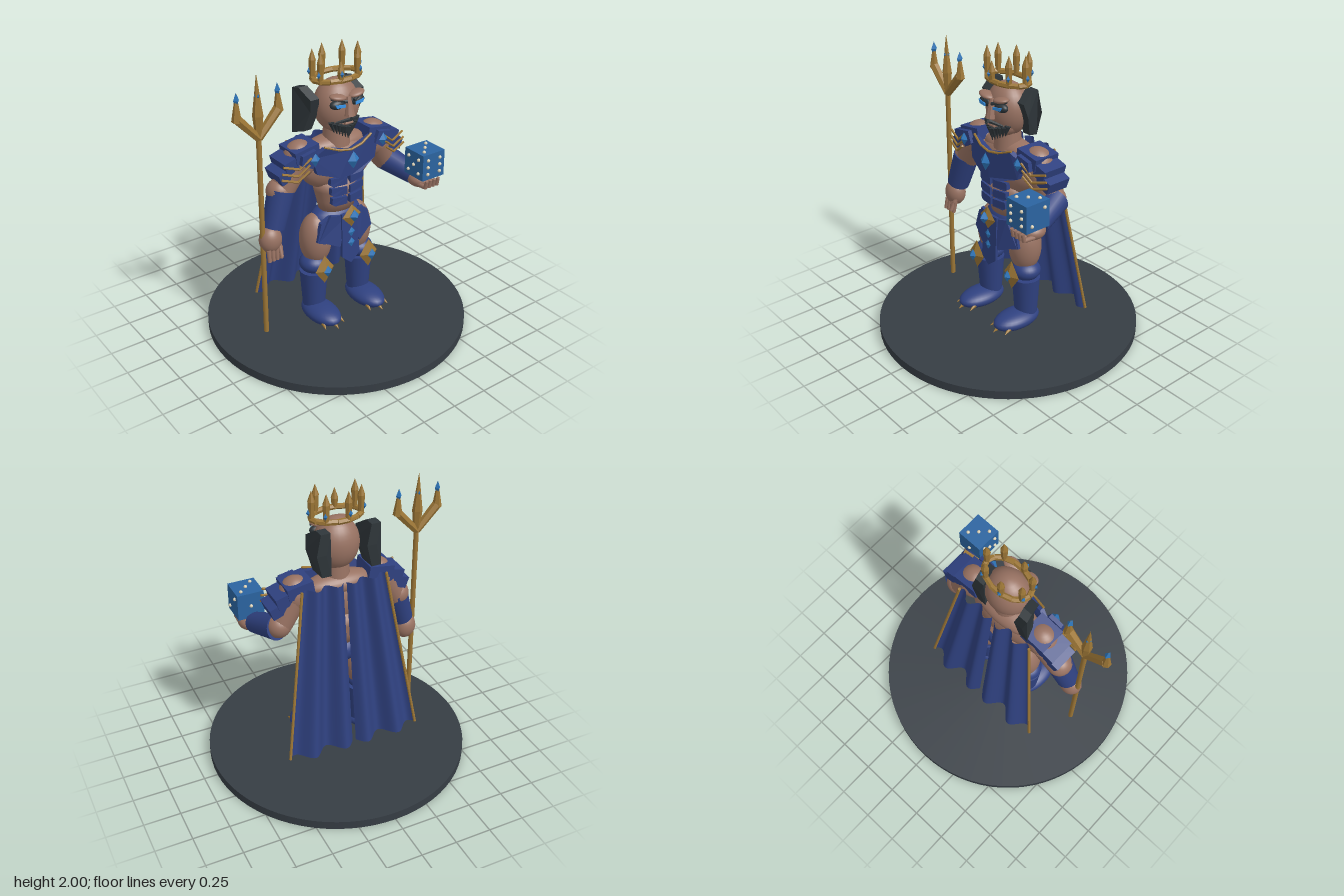
import * as THREE from 'three';

const colour = (name, hex) => Object.assign(new THREE.MeshStandardMaterial({ color: hex }), { name });
const V = (p) => new THREE.Vector3(...p);

export function createModel() {
  const navy = colour('navy armour', 0x2f4180);
  navy.side = THREE.DoubleSide;
  const skin = colour('skin', 0x987262);
  const gold = colour('gold', 0x9c7636);
  const hair = colour('hair', 0x2e3539);
  const stone = colour('base stone', 0x363d44);
  const gemBlue = colour('gem blue', 0x2f78bd);
  const dieBlue = colour('die blue', 0x2b64a0);
  const eyeBlue = colour('eye blue', 0x3c9cf5);
  const ivory = colour('ivory', 0xd6cdb4);

  const model = new THREE.Group();
  model.name = 'armouredKing';

  const add = (name, geo, mat, pos = [0, 0, 0], rot = [0, 0, 0]) => {
    const m = new THREE.Mesh(geo, mat);
    m.name = name;
    m.position.set(...pos);
    m.rotation.set(...rot);
    model.add(m);
    return m;
  };
  const flat = (geo) => {
    const g = geo.index ? geo.toNonIndexed() : geo;
    g.computeVertexNormals();
    return g;
  };
  const blob = (name, mat, pos, r, rot) => add(name, new THREE.SphereGeometry(1, 28, 18).scale(...r), mat, pos, rot);
  const gem = (name, mat, pos, r) => add(name, flat(new THREE.OctahedronGeometry(1).scale(...r)), mat, pos);
  const box = (name, mat, size, pos, rot) => add(name, new THREE.BoxGeometry(...size), mat, pos, rot);
  // Tapered round bar from a to b
  const limb = (name, mat, a, b, ra, rb, sides = 20) => {
    const A = V(a), B = V(b), d = B.clone().sub(A);
    let geo = new THREE.CylinderGeometry(rb, ra, d.length(), sides);
    if (sides < 10) geo = flat(geo);
    const m = add(name, geo, mat, A.clone().add(B).multiplyScalar(0.5).toArray());
    m.quaternion.setFromUnitVectors(new THREE.Vector3(0, 1, 0), d.normalize());
    return m;
  };
  const path = (name, mat, pts, r) => pts.slice(1).forEach((p, i) => limb(name, mat, pts[i], p, r, r, 6));
  // Flat armour plate from an outline, curved back by bend * x^2 and tilted by lean
  const plate = (name, mat, pts, depth, z, bend = 0, lean = 0) => {
    const shape = new THREE.Shape(pts.map((p) => new THREE.Vector2(...p)));
    const geo = new THREE.ExtrudeGeometry(shape, { depth, bevelEnabled: false });
    const p = geo.attributes.position;
    for (let i = 0; i < p.count; i++) {
      p.setZ(i, p.getZ(i) + z - bend * p.getX(i) ** 2 + lean * (0.88 - p.getY(i)));
    }
    return add(name, flat(geo), mat);
  };

  // Display base
  add('base', new THREE.CylinderGeometry(0.905, 0.905, 0.06, 72), stone, [0, 0.03, 0]);

  // Legs, boots and knee guards
  for (const s of [-1, 1]) {
    const x = 0.19 * s;
    blob('foot', navy, [x, 0.14, 0.085], [0.107, 0.063, 0.185]);
    for (const k of [-1, 0, 1]) {
      const cx = x + k * 0.065, cz = k ? 0.2 : 0.24;
      limb('toeClaw', gold, [cx, 0.13, cz], [cx + k * 0.012, 0.108, cz + 0.052], 0.018, 0.001, 8);
    }
    limb('shinGuard', navy, [x, 0.17, 0], [x, 0.44, 0], 0.078, 0.097);
    blob('kneeGuard', navy, [x, 0.495, 0], [0.1, 0.07, 0.1]);
    gem('kneeDiamond', gold, [x - 0.005 * s, 0.495, 0.125], [0.075, 0.108, 0.035]);
    gem('kneeGem', gemBlue, [x - 0.005 * s, 0.5, 0.163], [0.032, 0.045, 0.025]);
    blob('thigh', skin, [0.165 * s, 0.67, -0.01], [0.112, 0.19, 0.112]);
    plate('tasset', navy, [[0.02, 0.86], [0.13, 0.885], [0.215, 0.705], [0.08, 0.65]].map(([a, b]) => [a * s, b]),
      0.02, 0.125, 1.2, 0.1);
    plate('sideTasset', navy, [[0.12, 0.87], [0.19, 0.83], [0.225, 0.7], [0.17, 0.68]].map(([a, b]) => [a * s, b]),
      0.03, 0.085, 0.6, 0.1);
  }

  // Hips, front cloth and belt jewel
  blob('hips', navy, [0, 0.81, -0.01], [0.2, 0.1, 0.115]);
  plate('frontCloth', navy, [[-0.06, 0.88], [0.06, 0.88], [0.072, 0.57], [0, 0.51], [-0.072, 0.57]], 0.02, 0.13, 0, 0.07);
  gem('beltDiamond', gold, [0, 0.873, 0.175], [0.076, 0.083, 0.03]);
  gem('beltGem', gemBlue, [0, 0.883, 0.205], [0.036, 0.045, 0.035]);
  for (const y of [0.75, 0.67]) gem('clothGem', gemBlue, [0, y, 0.175], [0.028, 0.036, 0.012]);

  // Torso
  const waist = [[0, 0.86], [0.13, 0.88], [0.145, 0.95], [0.165, 1.03], [0.18, 1.1], [0, 1.2]];
  add('waist', new THREE.LatheGeometry(waist.map((p) => new THREE.Vector2(...p)), 36).scale(1, 1, 0.75), skin);
  blob('chest', skin, [0, 1.21, 0], [0.28, 0.18, 0.125]);
  blob('upperBack', skin, [0, 1.33, -0.02], [0.24, 0.075, 0.1]);
  limb('neck', skin, [0, 1.34, 0], [0, 1.5, 0], 0.095, 0.08);
  for (const s of [-1, 1]) {
    [1.125, 1.053, 0.982].forEach((y, i) => {
      const w = 0.135 - 0.006 * i, h = 0.03;
      plate('abdomenPlate', navy, [[0.012, y - h], [w - 0.02, y - h], [w, y - h * 0.5], [w - 0.004, y + h], [0.012, y + h * 0.8]]
        .map(([a, b]) => [a * s, b]), 0.03, 0.113, 1);
    });
    plate('breastPlate', navy, [[0, 1.345], [0.18, 1.39], [0.26, 1.33], [0.23, 1.215], [0.085, 1.165], [0, 1.165]]
      .map(([a, b]) => [a * s, b]), 0.035, 0.13, 0.9);
    path('neckTrim', gold, [[0, 1.35, 0.165], [0.09 * s, 1.365, 0.157], [0.185 * s, 1.4, 0.13]], 0.008);
  }
  gem('chestGem', gemBlue, [0, 1.285, 0.19], [0.045, 0.062, 0.03]);

  // Shoulders with layered pauldrons
  for (const s of [-1, 1]) {
    blob('shoulder', skin, [0.29 * s, 1.3, 0], [0.115, 0.13, 0.105]);
    const layers = [[0.285, 1.365, 0.18, 0.085, -0.16], [0.365, 1.32, 0.17, 0.085, -0.28], [0.415, 1.255, 0.15, 0.08, -0.36]];
    layers.forEach(([x, y, w, h, tilt], i) => {
      box('pauldron', navy, [w, h, 0.19 - i * 0.012], [x * s, y, 0], [0, 0, tilt * s]);
    });
    for (const [x, y] of [[0.39, 1.31], [0.4, 1.265], [0.405, 1.225]]) {
      path('pauldronTrim', gold, [[(x + 0.085) * s, y + 0.02, 0.1], [(x - 0.02) * s, y - 0.012, 0.125],
        [(x - 0.1) * s, y + 0.05, 0.14]], 0.008);
    }
    plate('collarPlate', navy, [[0.22, 1.32], [0.25, 1.4], [0.35, 1.38], [0.36, 1.32], [0.28, 1.28]]
      .map(([a, b]) => [a * s, b]), 0.03, 0.105);
    gem('shoulderGem', gemBlue, [0.27 * s, 1.345, 0.152], [0.035, 0.045, 0.024]);
  }

  // Lowered right arm and hand
  limb('upperArm', skin, [-0.34, 1.27, 0], [-0.44, 1.1, 0], 0.1, 0.08);
  blob('elbow', skin, [-0.45, 1.12, 0], [0.085, 0.085, 0.085]);
  limb('bracer', navy, [-0.437, 1.13, 0.005], [-0.515, 0.89, 0.025], 0.09, 0.077);
  blob('hand', skin, [-0.545, 0.81, 0.03], [0.078, 0.093, 0.07]);
  for (let i = 0; i < 4; i++) {
    const x = -0.585 + i * 0.03;
    limb('finger', skin, [x, 0.76, 0.07], [x - 0.004, 0.68, 0.085], 0.016, 0.013, 12);
  }
  limb('thumb', skin, [-0.5, 0.78, 0.06], [-0.505, 0.7, 0.1], 0.018, 0.013, 12);

  // Raised left arm and hand
  limb('upperArm', skin, [0.32, 1.27, 0], [0.41, 1.11, -0.02], 0.1, 0.08);
  blob('elbow', skin, [0.42, 1.11, -0.02], [0.085, 0.085, 0.085]);
  limb('bracer', navy, [0.43, 1.105, -0.03], [0.51, 1.035, 0.19], 0.09, 0.07);
  blob('hand', skin, [0.52, 1.02, 0.24], [0.08, 0.055, 0.085]);
  for (let i = 0; i < 4; i++) {
    const x = 0.475 + i * 0.033;
    limb('finger', skin, [x, 1.005, 0.28], [x, 1.01, 0.355], 0.017, 0.015, 12);
    limb('fingerTip', skin, [x, 1.005, 0.355], [x, 1.06, 0.37], 0.015, 0.011, 12);
  }

  // Die with raised pips, one layout for each side
  const die = new THREE.Group();
  die.name = 'die';
  die.position.set(0.523, 1.165, 0.282);
  model.add(die);
  const cube = new THREE.Mesh(new THREE.BoxGeometry(0.184, 0.184, 0.184), dieBlue);
  cube.name = 'dieBody';
  die.add(cube);
  const a = 0.05;
  const two = [[-a, -a], [a, a]], three = [...two, [0, 0]], four = [...two, [-a, a], [a, -a]];
  const six = [...four, [-a, 0], [a, 0]];
  const sides = [[six, 0, 0], [[[0, 0]], 0, Math.PI], [two, 0, Math.PI / 2], [[...four, [0, 0]], 0, -Math.PI / 2],
    [three, -Math.PI / 2, 0], [four, Math.PI / 2, 0]];
  for (const [spots, rx, ry] of sides) {
    for (const [px, py] of spots) {
      const pip = new THREE.Mesh(new THREE.SphereGeometry(0.012, 12, 8), ivory);
      pip.name = 'pip';
      pip.position.set(px, py, 0.095).applyEuler(new THREE.Euler(rx, ry, 0));
      die.add(pip);
    }
  }

  // Head and face
  blob('head', skin, [0, 1.61, 0], [0.155, 0.18, 0.135]);
  blob('jaw', skin, [0, 1.52, 0.035], [0.115, 0.085, 0.095]);
  limb('nose', skin, [0, 1.575, 0.145], [0, 1.7, 0.13], 0.035, 0.016, 8);
  for (const s of [-1, 1]) {
    blob('eyeSocket', hair, [0.075 * s, 1.66, 0.118], [0.056, 0.032, 0.032]);
    plate('eye', eyeBlue, [[0.04, 1.645], [0.1, 1.648], [0.112, 1.672], [0.04, 1.662]].map(([p, q]) => [p * s, q]), 0.008, 0.152, 0.8);
    blob('brow', skin, [0.07 * s, 1.705, 0.115], [0.06, 0.02, 0.045], [0, 0, 0.18 * s]);
    limb('eyebrow', hair, [0.025 * s, 1.68, 0.157], [0.125 * s, 1.705, 0.115], 0.011, 0.008, 6);
    limb('moustache', hair, [0.005 * s, 1.555, 0.155], [0.085 * s, 1.535, 0.115], 0.014, 0.009, 6);
    // Side hair, flaring out at mid height
    const lock = new THREE.Shape([[0.035, 1.69], [-0.06, 1.755], [-0.115, 1.745], [-0.122, 1.6], [-0.115, 1.44], [-0.03, 1.465], [0.01, 1.6]]
      .map(([z, y]) => new THREE.Vector2(-z, y)));
    const geo = new THREE.ExtrudeGeometry(lock, { depth: 0.065, bevelEnabled: false }).rotateY(Math.PI / 2);
    const p = geo.attributes.position;
    for (let i = 0; i < p.count; i++) p.setX(i, p.getX(i) - 1.6 * (p.getY(i) - 1.6) ** 2 + 0.3 * Math.min(0, p.getZ(i) + 0.06));
    add('sideHair', flat(geo), hair, [s > 0 ? 0.142 : -0.207 + 0.045, 0, 0]).position.x = s > 0 ? 0.142 : -0.207;
  }
  limb('lowerLip', skin, [-0.03, 1.525, 0.135], [0.03, 1.525, 0.135], 0.01, 0.01, 8);
  for (let i = -5; i <= 5; i++) {
    const x = i * 0.02, k = Math.abs(i) / 5;
    limb('beardStrand', hair, [x, 1.505 + 0.03 * k, 0.135 - 0.05 * k * k], [x * 0.8, 1.418 + 0.04 * k, 0.13 - 0.04 * k], 0.022, 0.002, 6);
  }

  // Crown: faceted band, seven spikes and gems
  const band = Array.from({ length: 15 }, (_, i) => {
    const t = (i / 14) * Math.PI * 2;
    return [0.17 * Math.cos(t), 1.803, 0.105 * Math.sin(t)];
  });
  path('crownBand', gold, band, 0.019);
  for (let i = 0; i < 7; i++) {
    const t = (i / 7) * Math.PI * 2, c = Math.cos(t), n = Math.sin(t);
    const x = 0.168 * c, z = 0.104 * n, top = i === 2 ? 1.935 : 1.995;
    limb('crownSpike', gold, [x, 1.79, z], [x, top - 0.07, z], 0.017, 0.024, 7);
    limb('crownSpikeTip', gold, [x, top - 0.07, z], [x, top, z], 0.024, 0.001, 7);
    gem('crownGem', gemBlue, [x + 0.02 * c, 1.852, z + 0.02 * n], [0.015, 0.024, 0.015]);
  }

  // Trident
  const tx = -0.602, tz = 0.03;
  limb('tridentShaft', gold, [tx, 0.115, tz], [tx, 1.56, tz], 0.017, 0.017, 12);
  limb('tridentCentre', gold, [tx, 1.53, tz], [tx, 1.69, tz], 0.02, 0.034, 6);
  limb('tridentCentreTip', gold, [tx, 1.69, tz], [tx, 1.95, tz], 0.034, 0.001, 6);
  gem('tridentGem', gemBlue, [tx, 1.815, tz], [0.02, 0.05, 0.024]);
  for (const s of [-1, 1]) {
    limb('tridentArm', gold, [tx, 1.54, tz], [tx + 0.145 * s, 1.7, tz], 0.026, 0.032, 6);
    limb('tridentProng', gold, [tx + 0.147 * s, 1.685, tz], [tx + 0.143 * s, 1.86, tz], 0.032, 0.004, 6);
    gem('tridentGem', gemBlue, [tx + 0.143 * s, 1.82, tz], [0.02, 0.05, 0.024]);
  }

  // Pleated cape in two halves with gold outer edges
  const capePoint = (u, v, s) => {
    const wave = Math.cos(((u - 0.15) / 0.5) * Math.PI * 2);
    const x = 0.012 + u * (0.285 + 0.18 * v);
    return [x * s, 1.38 - 1.175 * v, -0.14 - 0.165 * v - (0.028 + 0.017 * v) * wave];
  };
  for (const s of [-1, 1]) {
    const geo = new THREE.PlaneGeometry(1, 1, 40, 12);
    const p = geo.attributes.position;
    for (let i = 0; i < p.count; i++) {
      p.setXYZ(i, ...capePoint(p.getX(i) + 0.5, 0.5 - p.getY(i), s));
    }
    if (s < 0) geo.index.array.reverse();
    geo.computeVertexNormals();
    add('cape', geo, navy);
    limb('capeTrim', gold, capePoint(1, 0, s), capePoint(1, 1, s), 0.01, 0.01, 8);
  }
  return model;
}
